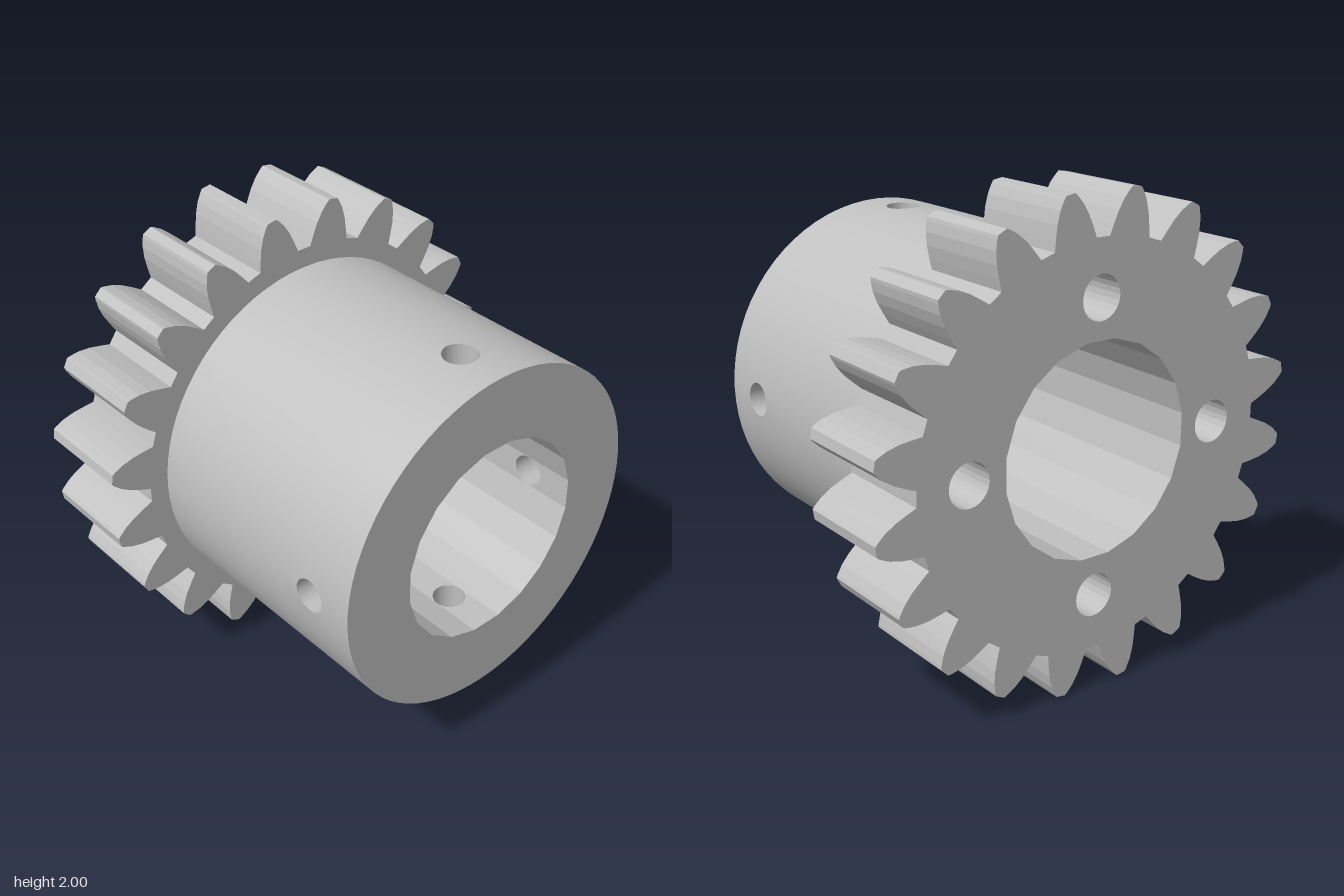
import * as THREE from 'three';

const BACK = -0.77, STEP = -0.34, FRONT = 0.77;   // gear back, gear/hub step, hub front
const HUB_R = 0.745, BORE_R = 0.44, BORE_SIDES = 20, TEETH = 20;
const PIN_Z = 0.555, PIN_R = 0.072, PIN_R_IN = 0.068; // radial pin holes in the hub
const BORE_FLAT = BORE_R * Math.cos(Math.PI / BORE_SIDES);
const DEG = Math.PI / 180;

const polar = (r, a) => new THREE.Vector2(r * Math.cos(a), r * Math.sin(a));
const ring = (r, n, offset = 0, cx = 0, cy = 0) => Array.from({ length: n }, (_, i) =>
  polar(r, offset + (i / n) * Math.PI * 2).add(new THREE.Vector2(cx, cy)));
const borePath = () => new THREE.Path(ring(BORE_R, BORE_SIDES, Math.PI / BORE_SIDES));

// Skin between closed loops of points
function loft(loops) {
  const n = loops[0].length, index = [];
  for (let j = 0; j < loops.length - 1; j++) {
    for (let i = 0; i < n; i++) {
      const a = j * n + i, b = j * n + (i + 1) % n;
      index.push(a, a + n, b, b, a + n, b + n);
    }
  }
  const g = new THREE.BufferGeometry().setFromPoints(loops.flat());
  g.setIndex(index);
  g.computeVertexNormals();
  return g;
}

// Spur gear outline with the bore and four screw holes
function gearGeometry() {
  const flank = [[0.828, 6.8], [0.87, 5.8], [0.92, 4.6], [0.965, 3.2], [0.998, 1.8], [1.009, 1.2]];
  const points = [];
  for (let t = 0; t < TEETH; t++) {
    const mid = (t + 0.5) * Math.PI * 2 / TEETH;
    flank.forEach(([r, d]) => points.push(polar(r, mid - d * DEG)));
    [...flank].reverse().forEach(([r, d]) => points.push(polar(r, mid + d * DEG)));
  }
  const shape = new THREE.Shape(points);
  shape.holes.push(borePath());
  ring(0.6, 4).forEach(c => shape.holes.push(new THREE.Path(ring(0.09, 24, 0, c.x, c.y))));
  const g = new THREE.ExtrudeGeometry(shape, { depth: STEP - BACK, bevelEnabled: false });
  return g.translate(0, 0, BACK);
}

// A quarter of the hub's outer wall around one pin hole, and the hole's lining
function hubQuarter() {
  const half = HUB_R * Math.PI / 4, side = 18, steps = 10;
  const wrap = (u, z) => new THREE.Vector3(HUB_R * Math.cos(u / HUB_R), HUB_R * Math.sin(u / HUB_R), z);
  const corners = [[-half, STEP], [half, STEP], [half, FRONT], [-half, FRONT]];
  const border = [];
  corners.forEach(([u, z], k) => {
    const [u2, z2] = corners[(k + 1) % 4];
    for (let i = 0; i < side; i++) {
      border.push([u + (u2 - u) * i / side, z + (z2 - z) * i / side]);
    }
  });
  const angles = border.map(([u, z]) => Math.atan2(z - PIN_Z, u));
  const rim = angles.map(a => [PIN_R * Math.cos(a), PIN_Z + PIN_R * Math.sin(a)]);
  const loops = [];
  for (let j = 0; j <= steps; j++) {
    const t = j / steps;
    loops.push(border.map(([u, z], i) =>
      wrap(rim[i][0] + (u - rim[i][0]) * t, rim[i][1] + (z - rim[i][1]) * t)));
  }
  const inner = angles.map(a => new THREE.Vector3(
    BORE_FLAT, PIN_R_IN * Math.cos(a), PIN_Z + PIN_R_IN * Math.sin(a)));
  return { wall: loft(loops), lining: loft([inner, loops[0]]) };
}

// One flat side of the bore, facing the axis
function borePanel(withHole) {
  const h = BORE_R * Math.sin(Math.PI / BORE_SIDES);
  const shape = new THREE.Shape([[-h, STEP], [h, STEP], [h, FRONT], [-h, FRONT]]
    .map(([x, y]) => new THREE.Vector2(x, y)));
  if (withHole) shape.holes.push(new THREE.Path(ring(PIN_R_IN, 32, 0, 0, PIN_Z)));
  const m = new THREE.Matrix4().makeBasis(
    new THREE.Vector3(0, -1, 0), new THREE.Vector3(0, 0, 1), new THREE.Vector3(-1, 0, 0));
  m.setPosition(BORE_FLAT, 0, 0);
  return new THREE.ShapeGeometry(shape).applyMatrix4(m);
}

export function createModel() {
  const steel = new THREE.MeshStandardMaterial({ color: 0xc0c0c0 });
  steel.name = 'grey steel';
  const model = new THREE.Group();
  model.name = 'hubbedGear';
  const add = (name, geometry, turn = 0) => {
    const mesh = new THREE.Mesh(geometry, steel);
    mesh.name = name;
    mesh.rotation.z = turn;
    mesh.position.y = 1;
    model.add(mesh);
    return mesh;
  };

  add('gear', gearGeometry());

  // Hub wall and pin holes
  const { wall, lining } = hubQuarter();
  for (let k = 0; k < 4; k++) {
    add('hubWall', wall, k * Math.PI / 2);
    add('pinHole', lining, k * Math.PI / 2);
  }

  // Hub bore
  const plain = borePanel(false), drilled = borePanel(true);
  for (let i = 0; i < BORE_SIDES; i++) {
    add('borePanel', i % (BORE_SIDES / 4) ? plain : drilled, i * Math.PI * 2 / BORE_SIDES);
  }

  // Hub front face
  const face = new THREE.Shape(ring(HUB_R, 72));
  face.holes.push(borePath());
  add('hubFace', new THREE.ShapeGeometry(face).translate(0, 0, FRONT));

  // Floors of the blind screw holes
  ring(0.6, 4).forEach(c => {
    const floor = new THREE.CircleGeometry(0.09, 24).rotateY(Math.PI);
    add('screwHoleFloor', floor.translate(c.x, c.y, STEP));
  });
  return model;
}
